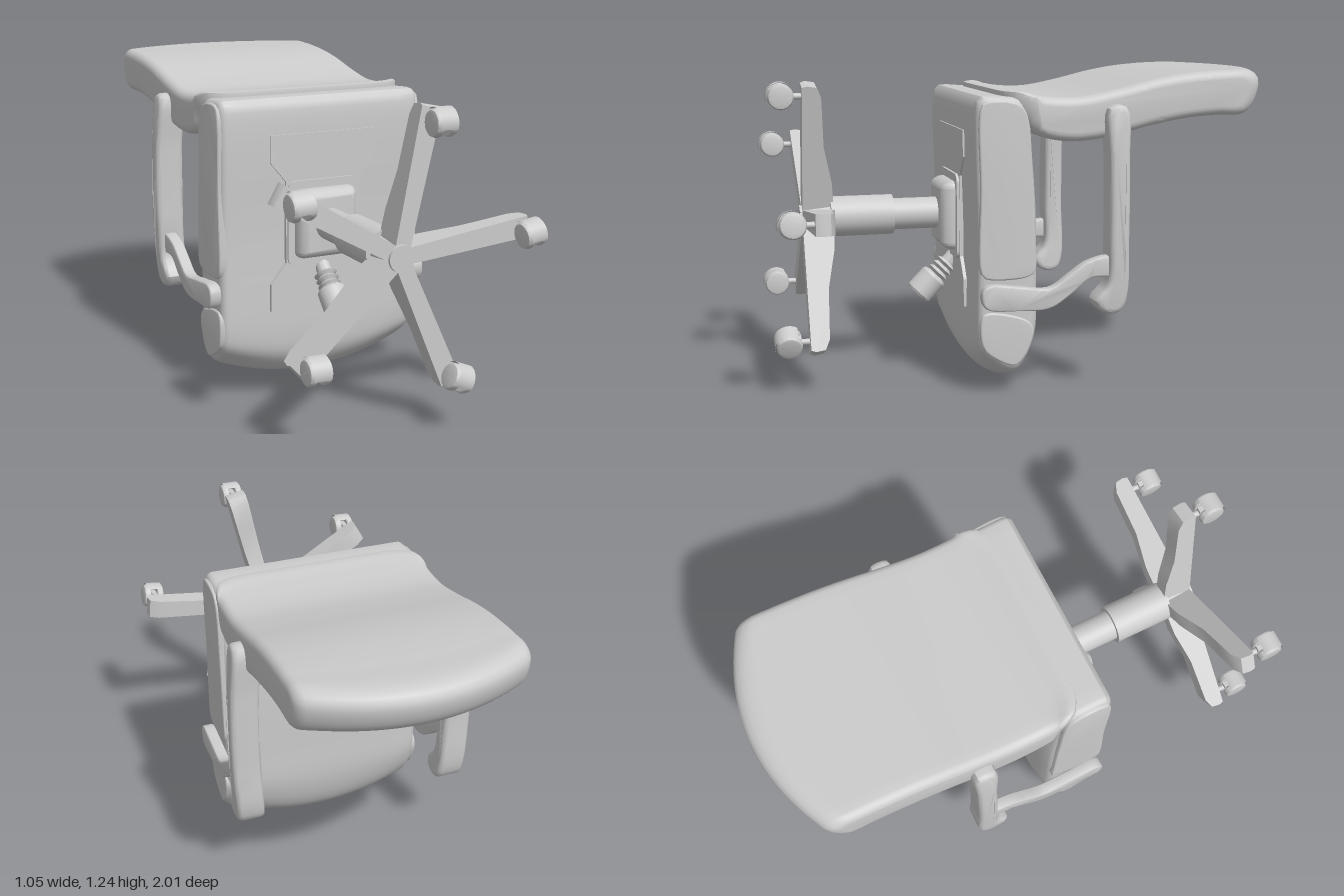
import * as THREE from 'three';
import { toCreasedNormals } from 'three/addons/utils/BufferGeometryUtils.js';

const CX = -0.028; // centre line of the chair
const HUB_Y = 0.657; // height of the column axis
const material = new THREE.MeshStandardMaterial({ color: 0xcccccc, side: THREE.DoubleSide });

function addMesh(parent, name, geometry, x = 0, y = 0, z = 0) {
  const mesh = new THREE.Mesh(geometry, material);
  mesh.name = name;
  mesh.position.set(x, y, z);
  parent.add(mesh);
  return mesh;
}

function moveVertices(geometry, rule) {
  const p = geometry.attributes.position;
  const v = new THREE.Vector3();
  for (let i = 0; i < p.count; i++) {
    rule(v.fromBufferAttribute(p, i));
    p.setXYZ(i, v.x, v.y, v.z);
  }
  return geometry;
}

const crease = (geometry, angle = 0.6) => toCreasedNormals(geometry.index ? geometry.toNonIndexed() : geometry, angle);

// Side profile of [z, y] points, made into a solid reaching x = -half..half
function sideSolid(points, half, bevel, rule = () => {}, steps = 1, samples = 70) {
  const curve = new THREE.CatmullRomCurve3(points.map(([z, y]) => new THREE.Vector3(-z, y, 0)), true, 'centripetal');
  const shape = new THREE.Shape(curve.getSpacedPoints(samples).slice(0, -1).map(p => new THREE.Vector2(p.x, p.y)));
  const depth = 2 * (half - bevel);
  const g = new THREE.ExtrudeGeometry(shape, {
    depth, steps, bevelSize: bevel, bevelThickness: bevel, bevelOffset: -bevel, bevelSegments: 5,
  });
  g.translate(0, 0, -depth / 2).rotateY(Math.PI / 2);
  return crease(moveVertices(g, rule));
}

function flatShape(points) {
  return new THREE.Shape(points.map(([x, y]) => new THREE.Vector2(x, y)));
}

function roundedRect(w, h, r) {
  const s = new THREE.Shape();
  s.absarc(w - r, h - r, r, 0, Math.PI / 2);
  s.absarc(-w + r, h - r, r, Math.PI / 2, Math.PI);
  s.absarc(-w + r, -h + r, r, Math.PI, Math.PI * 1.5);
  s.absarc(w - r, -h + r, r, Math.PI * 1.5, Math.PI * 2);
  return s;
}

// Cylinder along z from z0 to z1
function zCylinder(r0, r1, z0, z1) {
  return new THREE.CylinderGeometry(r1, r0, z1 - z0, 32).rotateX(Math.PI / 2).translate(0, 0, (z0 + z1) / 2);
}

// Front lip sweeps up towards the sides
function seatRule(v) {
  const t = Math.min(1, Math.abs(v.x) / 0.433);
  v.y += 0.1 * t * t * THREE.MathUtils.clamp((0.32 - v.y) / 0.28, 0, 1);
  v.z += 0.03 * t ** 6 * THREE.MathUtils.clamp((0.12 - v.z) / 0.1, 0, 1);
}

function backRule(v) {
  const t = Math.min(1, Math.abs(v.x) / 0.437);
  v.z += 0.13 * t * t * THREE.MathUtils.clamp((-0.65 - v.z) / 0.3, 0, 1); // arched top edge
  v.z -= 0.08 * t ** 10 * THREE.MathUtils.clamp(v.z / 0.1, 0, 1); // rounded lower corners
}

function buildSeat(chair) {
  const seat = sideSolid([
    [0.25, 1.13], [0.235, 1.148], [0.15, 1.148], [0.07, 1.135], [0.035, 1.08], [0.015, 0.9], [0.002, 0.7],
    [0, 0.4], [0.005, 0.2], [0.04, 0.07], [0.08, 0.012], [0.12, 0], [0.18, 0.03], [0.235, 0.1], [0.25, 0.18], [0.25, 0.6],
  ], 0.427, 0.03, seatRule, 16, 90);
  addMesh(chair, 'seat', seat, CX);

  // Raised trim on both sides, parted where the arm passes
  const upper = sideSolid([
    [0.243, 1.1], [0.225, 1.13], [0.1, 1.125], [0.065, 1.09], [0.04, 0.85], [0.03, 0.6], [0.03, 0.48],
    [0.06, 0.46], [0.225, 0.46], [0.243, 0.48], [0.243, 0.8],
  ], 0.02, 0.008);
  const lower = sideSolid([
    [0.243, 0.3], [0.225, 0.325], [0.06, 0.29], [0.035, 0.25], [0.07, 0.15], [0.11, 0.115], [0.18, 0.14], [0.235, 0.19],
  ], 0.02, 0.008);
  for (const s of [-1, 1]) {
    addMesh(chair, 'upperSideTrim', upper, CX + s * 0.415);
    addMesh(chair, 'lowerSideTrim', lower, CX + s * 0.415);
  }
}

function buildBackrest(chair) {
  const back = sideSolid([
    [0.14, 1.165], [0.05, 1.155], [-0.05, 1.143], [-0.15, 1.143], [-0.3, 1.17], [-0.45, 1.205], [-0.6, 1.228],
    [-0.8, 1.237], [-0.96, 1.232], [-0.998, 1.2], [-0.985, 1.12], [-0.95, 1.075], [-0.9, 1.063], [-0.75, 1.063],
    [-0.6, 1.055], [-0.45, 1.03], [-0.3, 0.995], [-0.2, 0.978], [-0.1, 0.975], [0, 0.995], [0.08, 1.04], [0.135, 1.11],
  ], 0.437, 0.035, backRule, 24, 110);
  addMesh(chair, 'backrest', back, CX);
}

function buildArms(chair) {
  const arm = sideSolid([
    [0.245, 0.42], [0.22, 0.44], [0.1, 0.43], [-0.02, 0.42], [-0.1, 0.47], [-0.17, 0.515], [-0.27, 0.53],
    [-0.28, 0.46], [-0.18, 0.45], [-0.1, 0.39], [-0.02, 0.342], [0.1, 0.338], [0.235, 0.355],
  ], 0.024, 0.008);
  const padProfile = [
    [-0.25, 1.1], [-0.29, 1.115], [-0.325, 1.1], [-0.33, 0.9], [-0.33, 0.6], [-0.33, 0.38], [-0.31, 0.32],
    [-0.265, 0.303], [-0.215, 0.325], [-0.2, 0.365], [-0.245, 0.42], [-0.25, 0.6], [-0.25, 0.9],
  ];
  for (const s of [-1, 1]) {
    addMesh(chair, 'armSupport', arm, CX + s * 0.45);
    const pad = sideSolid(padProfile, 0.057, 0.022, v => { v.x -= s * 0.02 * ((v.y - 0.7) / 0.4) ** 2; });
    addMesh(chair, 'armPad', pad, CX + s * 0.446);
  }
}

function buildMechanism(chair) {
  // Waisted plate under the seat
  const half = [[0.225, 1.01], [0.225, 0.905], [0.16, 0.825], [0.16, 0.5], [0.225, 0.42], [0.225, 0.31]];
  const outline = [...half, ...half.slice().reverse().map(([x, y]) => [-x, y])];
  addMesh(chair, 'seatPlate', new THREE.ExtrudeGeometry(flatShape(outline), { depth: 0.025, bevelEnabled: false }), CX, 0, 0.24);
  addMesh(chair, 'mountFrame', new THREE.ExtrudeGeometry(roundedRect(0.155, 0.17, 0.035), { depth: 0.02, bevelEnabled: false }), CX, HUB_Y, 0.255);
  const mount = new THREE.ExtrudeGeometry(roundedRect(0.128, 0.138, 0.03), {
    depth: 0.01, bevelSize: 0.04, bevelThickness: 0.05, bevelOffset: -0.04, bevelSegments: 4,
  });
  addMesh(chair, 'columnMount', crease(mount), CX, HUB_Y, 0.27);
  addMesh(chair, 'upperColumn', zCylinder(0.063, 0.063, 0.3, 0.52), CX, HUB_Y);
  addMesh(chair, 'lowerColumn', zCylinder(0.08, 0.08, 0.51, 0.76), CX, HUB_Y);

  // Tilt knob with ribbed sleeve, turned on one lathe profile
  const knob = [
    [0.001, -0.07], [0.03, -0.07], [0.03, 0.02], [0.046, 0.03], [0.032, 0.042], [0.046, 0.054], [0.032, 0.066],
    [0.046, 0.078], [0.032, 0.09], [0.05, 0.095], [0.057, 0.105], [0.057, 0.19], [0.05, 0.2], [0.001, 0.2],
  ].map(([r, h]) => new THREE.Vector2(r, h));
  const mesh = addMesh(chair, 'tiltKnob', crease(new THREE.LatheGeometry(knob, 32)), CX, 0.463, 0.268);
  mesh.rotation.x = Math.PI * 0.75;
}

function buildCaster(turn) {
  const caster = new THREE.Group();
  caster.name = 'caster';
  const wheel = crease(new THREE.LatheGeometry([
    [0.001, -0.014], [0.046, -0.014], [0.05, -0.009], [0.05, 0.002], [0.045, 0.013], [0.034, 0.016], [0.001, 0.016],
  ].map(([r, h]) => new THREE.Vector2(r, h)), 28).rotateZ(-Math.PI / 2));
  for (const s of [-1, 1]) {
    const w = addMesh(caster, 'wheel', wheel, s * 0.028);
    if (s < 0) w.rotation.y = Math.PI;
  }
  addMesh(caster, 'axle', new THREE.CylinderGeometry(0.012, 0.012, 0.07, 12).rotateZ(Math.PI / 2));
  addMesh(caster, 'fork', new THREE.BoxGeometry(0.022, 0.05, 0.05), 0, 0, -0.02);
  addMesh(caster, 'stem', zCylinder(0.012, 0.012, -0.1, -0.02));
  // Curved guard over the rear of the wheels
  const guard = new THREE.CylinderGeometry(0.056, 0.056, 0.066, 20, 1, true, 0, Math.PI * 0.8);
  guard.rotateZ(Math.PI / 2).rotateX(Math.PI * 0.1);
  addMesh(caster, 'guard', guard);
  caster.rotation.z = turn;
  return caster;
}

function buildBase(chair) {
  const base = new THREE.Group();
  base.name = 'starBase';
  base.position.set(CX, HUB_Y, 0);
  chair.add(base);
  addMesh(base, 'hub', zCylinder(0.062, 0.05, 0.75, 0.88));

  // Leg: side profile, widening towards the tip
  const profile = flatShape([
    [0, 0.75], [0.08, 0.75], [0.15, 0.755], [0.22, 0.77], [0.3, 0.787], [0.4, 0.792], [0.5, 0.797],
    [0.54, 0.815], [0.546, 0.85], [0.54, 0.87], [0, 0.87],
  ]);
  let leg = new THREE.ExtrudeGeometry(profile, { depth: 1, bevelEnabled: false });
  leg.translate(0, 0, -0.5).rotateX(Math.PI / 2);
  // Orient so the profile height runs along +z
  leg = crease(moveVertices(leg, v => { v.y *= 0.06 + 0.04 * v.x; }), 0.5);

  const turns = [0.15, 0, 0.05, 0, -0.4];
  for (let i = 0; i < 5; i++) {
    const a = THREE.MathUtils.degToRad(6 + 72 * i);
    addMesh(base, 'leg', leg).rotation.z = a;
    const caster = buildCaster(turns[i]);
    caster.position.set(0.497 * Math.cos(a), 0.497 * Math.sin(a), 0.949);
    base.add(caster);
  }
}

export function createModel() {
  const chair = new THREE.Group();
  chair.name = 'officeChair';
  buildSeat(chair);
  buildBackrest(chair);
  buildArms(chair);
  buildMechanism(chair);
  buildBase(chair);
  return chair;
}
